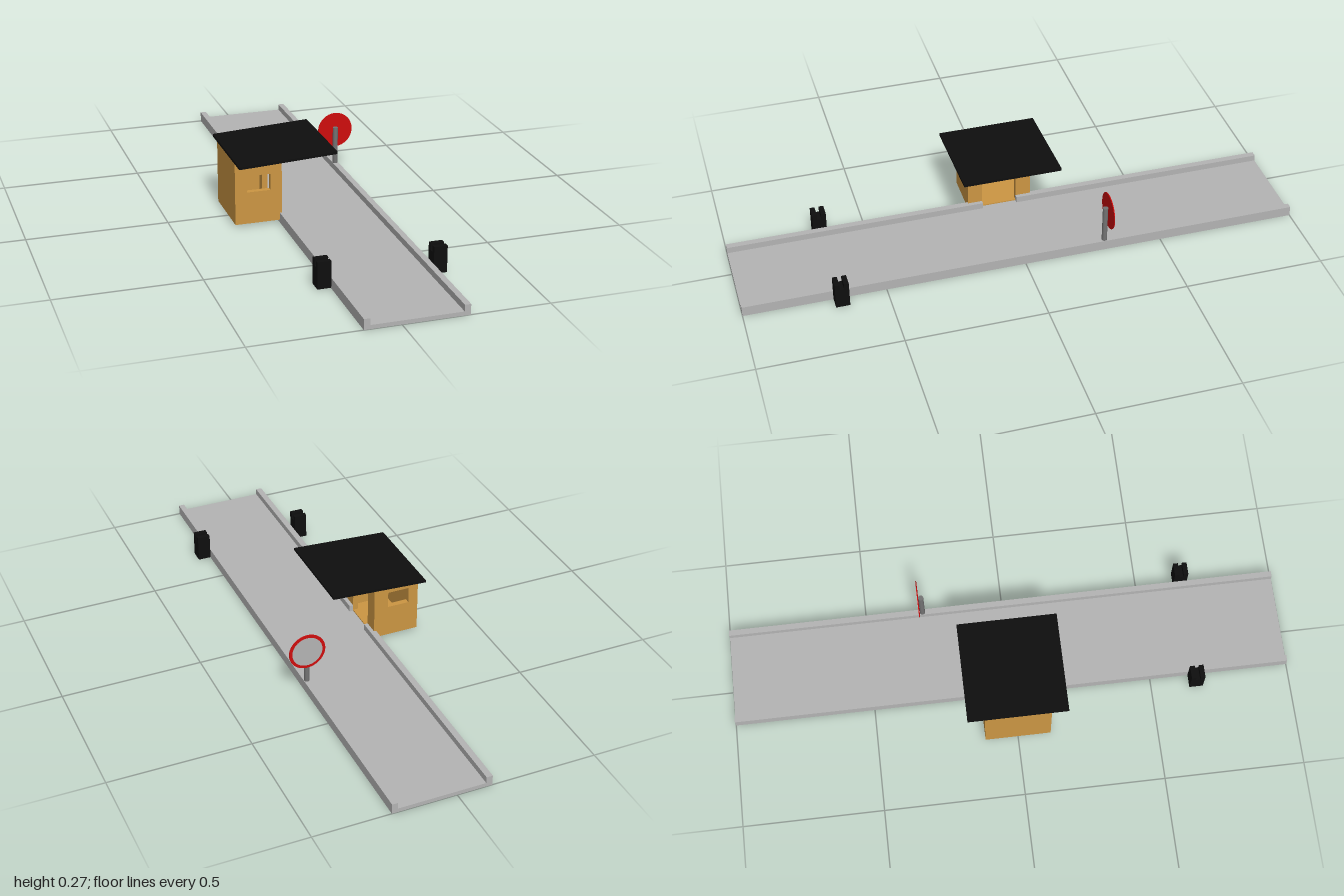
import * as THREE from 'three';

const mat = (name, color) => {
  const m = new THREE.MeshStandardMaterial({ color });
  m.name = name;
  return m;
};

export function createModel() {
  const concrete = mat('light concrete', 0xb4b4b4);
  const wood = mat('tan wood', 0xcc9643);
  const black = mat('black', 0x0e0e0e);
  const red = mat('sign red', 0xcf0d0d);
  const steel = mat('steel grey', 0x737373);

  const model = new THREE.Group();
  model.name = 'roadCheckpoint';

  const add = (parent, name, geometry, material) => {
    const mesh = new THREE.Mesh(geometry, material);
    mesh.name = name;
    parent.add(mesh);
    return mesh;
  };
  const group = (name) => {
    const g = new THREE.Group();
    g.name = name;
    model.add(g);
    return g;
  };
  // Box given by its lower and upper limits on each axis
  const block = (x0, x1, y0, y1, z0, z1) =>
    new THREE.BoxGeometry(x1 - x0, y1 - y0, z1 - z0)
      .translate((x0 + x1) / 2, (y0 + y1) / 2, (z0 + z1) / 2);
  const outline = (points) => points.map(([x, y]) => new THREE.Vector2(x, y));
  // Outline in x,y extruded from z0 to z1
  const prism = (points, z0, z1, hole) => {
    const shape = new THREE.Shape(outline(points));
    if (hole) shape.holes.push(new THREE.Path(outline(hole)));
    return new THREE.ExtrudeGeometry(shape, { depth: z1 - z0, bevelEnabled: false })
      .translate(0, 0, z0);
  };
  // Outline in z,y extruded from x0 to x1 (first coordinate is -z)
  const sidePrism = (points, x0, x1) => prism(points, x0, x1).rotateY(Math.PI / 2);
  const rect = (x0, x1, y0, y1) => [[x0, y0], [x1, y0], [x1, y1], [x0, y1]];

  // Road slab with raised curbs; the curb by the booth opens at the door
  const doorFront = 0.065, doorBack = -0.062;
  const road = group('road');
  add(road, 'roadSlab', block(-0.125, 0.228, 0, 0.014, -1, 1), concrete);
  add(road, 'leftCurb', block(0.207, 0.228, 0.014, 0.037, -1, 1), concrete);
  add(road, 'rightCurbFront', block(-0.125, -0.103, 0.014, 0.037, doorFront, 1), concrete);
  add(road, 'rightCurbBack', block(-0.125, -0.103, 0.014, 0.037, -1, doorBack), concrete);

  // Hollow booth under a sloping roof
  const booth = group('booth');
  const X0 = -0.286, X1 = -0.117, Z = 0.117, T = 0.02, base = 0.01;
  const roofY = (x) => 0.237 + (x - X0) * 0.054;
  const wall = [[X0, base], [X1, base], [X1, roofY(X1)], [X0, roofY(X0)]];
  add(booth, 'frontWall', prism(wall, Z - T, Z, rect(-0.244, -0.158, 0.127, 0.187)), wood);
  add(booth, 'backWall', prism(wall, -Z, T - Z, rect(-0.25, -0.17, 0.127, 0.187)), wood);
  add(booth, 'outerWall', block(X0, X0 + T, base, roofY(X0), T - Z, Z - T), wood);
  add(booth, 'floor', block(X0 + T, X1, base, base + 0.008, T - Z, Z - T), wood);
  const top = roofY(X1 - T), inner = Z - T;
  add(booth, 'doorWall', sidePrism([
    [-inner, base + 0.008], [-doorFront, base + 0.008], [-doorFront, 0.19], [-doorBack, 0.19],
    [-doorBack, base + 0.008], [inner, base + 0.008], [inner, top], [-inner, top],
  ], X1 - T, X1), wood);
  const RX = 0.067;
  add(booth, 'roof', prism([
    [X0, roofY(X0)], [RX, roofY(RX)], [RX, roofY(RX) + 0.009], [X0, roofY(X0) + 0.009],
  ], -0.177, 0.177), black);

  // Notched barrier posts on both sides of the road
  const notched = [
    [-0.687, 0.002], [-0.638, 0.002], [-0.638, 0.097], [-0.655, 0.097],
    [-0.655, 0.075], [-0.67, 0.075], [-0.67, 0.097], [-0.687, 0.097],
  ];
  const barrier = group('barrierPosts');
  add(barrier, 'leftBarrierPost', sidePrism(notched, 0.228, 0.275), black);
  add(barrier, 'rightBarrierPost', sidePrism(notched, -0.172, -0.125), black);

  // Round sign on a pole: plain red in front, red ring with pale centre behind
  const sign = group('roundSign');
  add(sign, 'signPole',
    new THREE.CylinderGeometry(0.0095, 0.0095, 0.14, 24).translate(0.217, 0.107, -0.292), steel);
  const disc = (r, depth, z) =>
    new THREE.CylinderGeometry(r, r, depth, 48).rotateX(Math.PI / 2).translate(0.219, 0.164, z);
  add(sign, 'signDisc', disc(0.066, 0.003, -0.303), red);
  add(sign, 'signFace', disc(0.055, 0.001, -0.305), concrete);

  return model;
}
